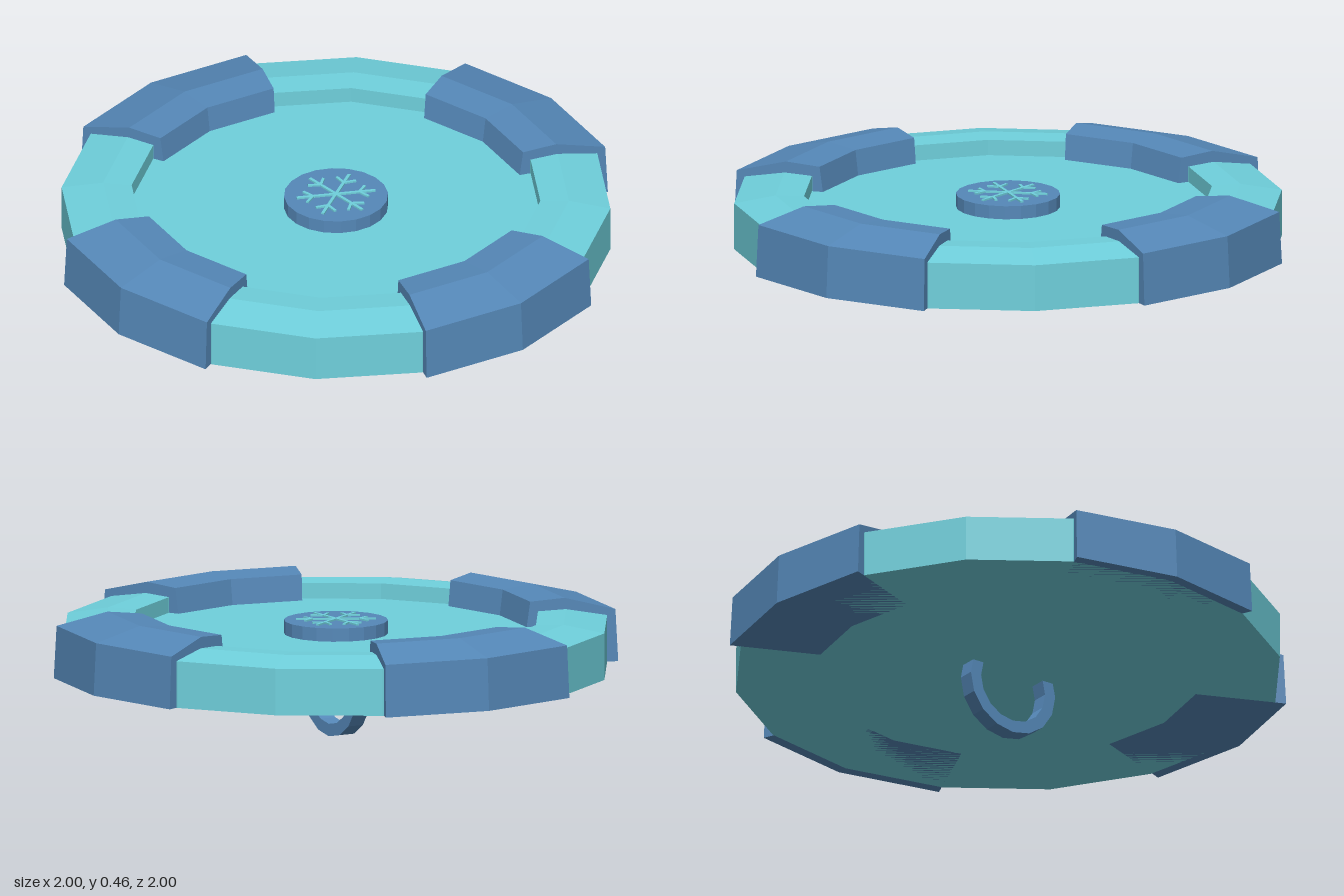
import * as THREE from 'three';

const teal = new THREE.MeshStandardMaterial({ color: 0x6fd0dc, flatShading: true });
const blue = new THREE.MeshStandardMaterial({ color: 0x5588b8, flatShading: true });
const blueCap = new THREE.MeshStandardMaterial({ color: 0x5588b8, flatShading: true, side: THREE.DoubleSide });

const points = (list) => list.map(([x, y]) => new THREE.Vector2(x, y));

function add(parent, name, geometry, material) {
  const mesh = new THREE.Mesh(geometry, material);
  mesh.name = name;
  parent.add(mesh);
  return mesh;
}

// Raised clamp over the rim: a two-sided swept section closed by flat ends
function rimClamp(turn) {
  const group = new THREE.Group();
  group.name = 'rimClamp';
  const section = points([[0.675, 0.235], [1, 0.235], [0.99, 0.42], [0.81, 0.465], [0.688, 0.455], [0.675, 0.36]]);
  const half = THREE.MathUtils.degToRad(22.25);
  add(group, 'clampBody', new THREE.LatheGeometry([...section, section[0]], 2, -half, 2 * half), blue);
  for (const side of [-1, 1]) {
    const end = add(group, 'clampEnd', new THREE.ShapeGeometry(new THREE.Shape(section)), blueCap);
    end.rotation.y = side * half - Math.PI / 2;
  }
  group.rotation.y = turn;
  return group;
}

// Six-armed emblem made of thin bars
function snowflake() {
  const group = new THREE.Group();
  group.name = 'snowflake';
  for (let i = 0; i < 6; i++) {
    const arm = new THREE.Group();
    arm.name = 'snowflakeArm';
    arm.rotation.y = i * Math.PI / 3;
    add(arm, 'armBar', new THREE.BoxGeometry(0.011, 0.012, 0.14).translate(0, 0, 0.07), teal);
    for (const side of [-1, 1]) {
      const twig = add(arm, 'twig', new THREE.BoxGeometry(0.01, 0.012, 0.045).translate(0, 0, 0.0225), teal);
      twig.position.z = 0.082;
      twig.rotation.y = side * Math.PI / 3.4;
    }
    group.add(arm);
  }
  return group;
}

export function createModel() {
  const model = new THREE.Group();
  model.name = 'roundShield';

  // Dished body with a raised rim
  const body = points([[0, 0.235], [0.96, 0.235], [0.96, 0.4], [0.815, 0.425], [0.715, 0.42], [0.715, 0.365], [0, 0.365]]);
  add(model, 'shieldBody', new THREE.LatheGeometry(body, 16), teal);

  // Four clamps around the rim
  for (let i = 0; i < 4; i++) model.add(rimClamp(i * Math.PI / 2));

  // Centre boss with its emblem
  const boss = add(model, 'centreBoss', new THREE.CylinderGeometry(0.182, 0.182, 0.05, 20), blue);
  boss.position.y = 0.387;
  const flake = snowflake();
  flake.position.y = 0.412;
  model.add(flake);

  // Flat ring grip below, its upper part buried in the body
  const band = points([[0.138, -0.03], [0.182, -0.03], [0.182, 0.03], [0.138, 0.03], [0.138, -0.03]]);
  const grip = add(model, 'ringGrip', new THREE.LatheGeometry(band, 16), blue);
  grip.rotation.z = Math.PI / 2;
  grip.position.y = 0.184;

  return model;
}
